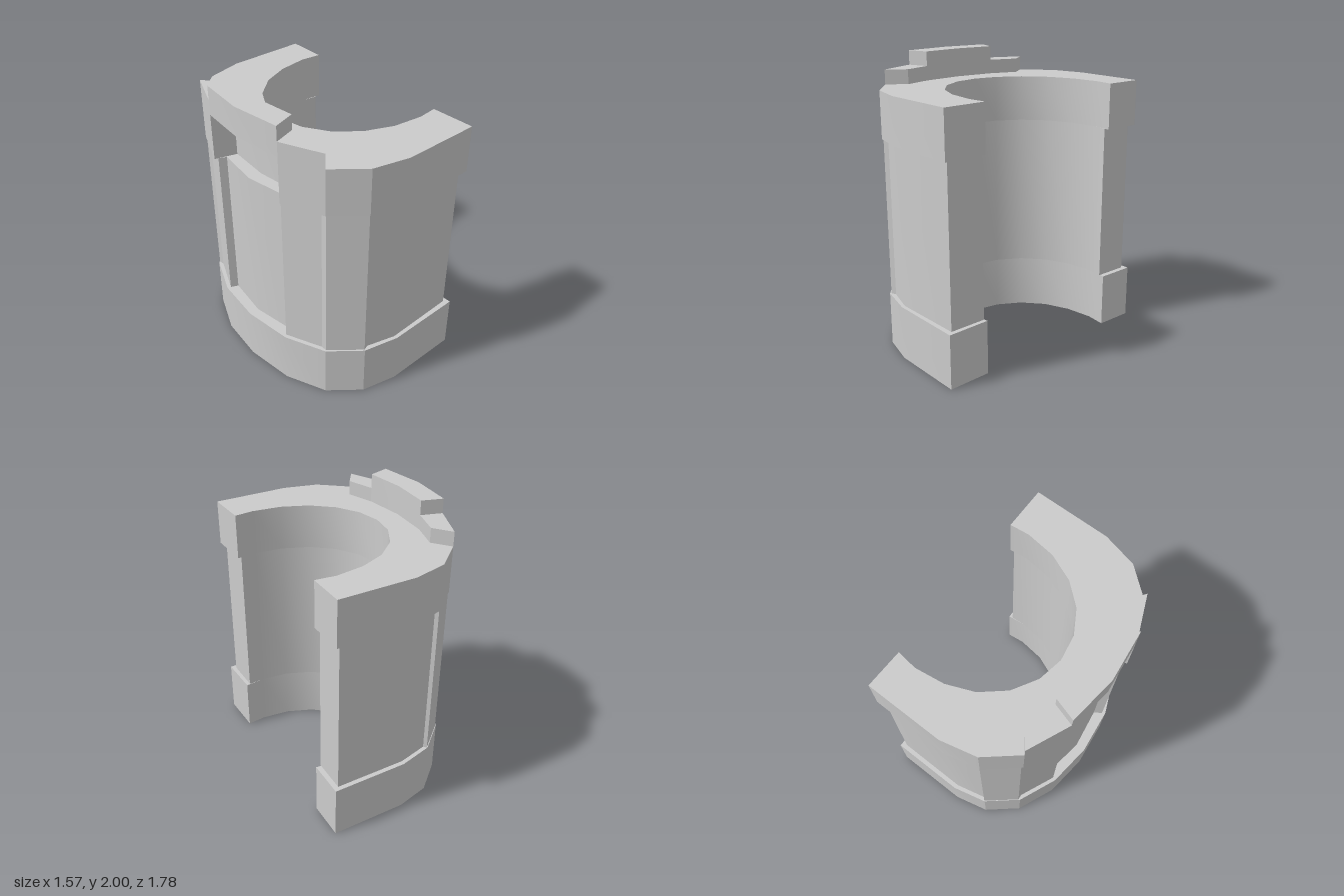
import * as THREE from 'three';
import { toCreasedNormals } from 'three/addons/utils/BufferGeometryUtils.js';

const material = new THREE.MeshStandardMaterial({ color: 0xcccccc });

// Extrude a plan outline of [x, z] points between two heights
function slab(name, plan, y0, y1) {
  const shape = new THREE.Shape(plan.map(([x, z]) => new THREE.Vector2(x, -z)));
  const geometry = new THREE.ExtrudeGeometry(shape, { depth: y1 - y0, bevelEnabled: false });
  geometry.rotateX(-Math.PI / 2).translate(0, y0, 0);
  const mesh = new THREE.Mesh(toCreasedNormals(geometry, 0.4), material);
  mesh.name = name;
  return mesh;
}

export function createModel() {
  const group = new THREE.Group();
  group.name = 'openCollar';

  // Outer wall, from the back end round to the front end
  const outer = [
    [-0.05, -0.895], [-0.515, -0.63], [-0.695, -0.46], [-0.785, -0.21], [-0.75, 0.09], [-0.62, 0.39],
    [-0.415, 0.665], [-0.175, 0.845], [0.08, 0.89], [0.32, 0.82], [0.785, 0.55],
  ];
  // Bore, from the front end back again, without its two end points
  const bore = [
    [0.52, 0.37], [0.33, 0.45], [0.13, 0.475], [-0.06, 0.44], [-0.22, 0.35], [-0.335, 0.215],
    [-0.395, 0.05], [-0.395, -0.14], [-0.33, -0.325], [-0.21, -0.48], [-0.05, -0.605],
  ];
  const inner = [[0.63, 0.29], ...bore, [0.08, -0.66]];

  // Back of the pocket under the tall lug
  const pocket = [[-0.6, 0.055], [-0.48, 0.315], [-0.31, 0.55]];

  // Inset body wall with two raised ribs and a recessed middle panel
  const body = [
    [-0.065, -0.85], [-0.505, -0.6], [-0.665, -0.45], [-0.69, -0.46], [-0.777, -0.22], [-0.755, -0.19],
    [-0.725, 0.085], [-0.67, 0.08], [-0.56, 0.355], [-0.375, 0.585], [-0.405, 0.64],
    [-0.19, 0.8], [-0.17, 0.835], [0.08, 0.88], [0.105, 0.85], [0.305, 0.8], [0.74, 0.535],
    [0.61, 0.31], ...bore, [0.05, -0.64],
  ];

  group.add(
    slab('lowerFlange', [...outer, ...inner], 0, 0.38),
    slab('body', body, 0.38, 1.48),
    slab('upperFlange', [...outer.slice(0, 5), ...pocket, ...outer.slice(6), ...inner], 1.48, 1.8),
    slab('tallLug', [...outer.slice(4, 7), ...pocket.slice().reverse()], 1.8, 2),
    slab('backLug', [outer[3], outer[4], pocket[0], [-0.645, -0.15]], 1.8, 1.9),
    slab('frontLug', [outer[6], outer[7], [-0.16, 0.69], pocket[2]], 1.8, 1.9),
  );
  return group;
}
